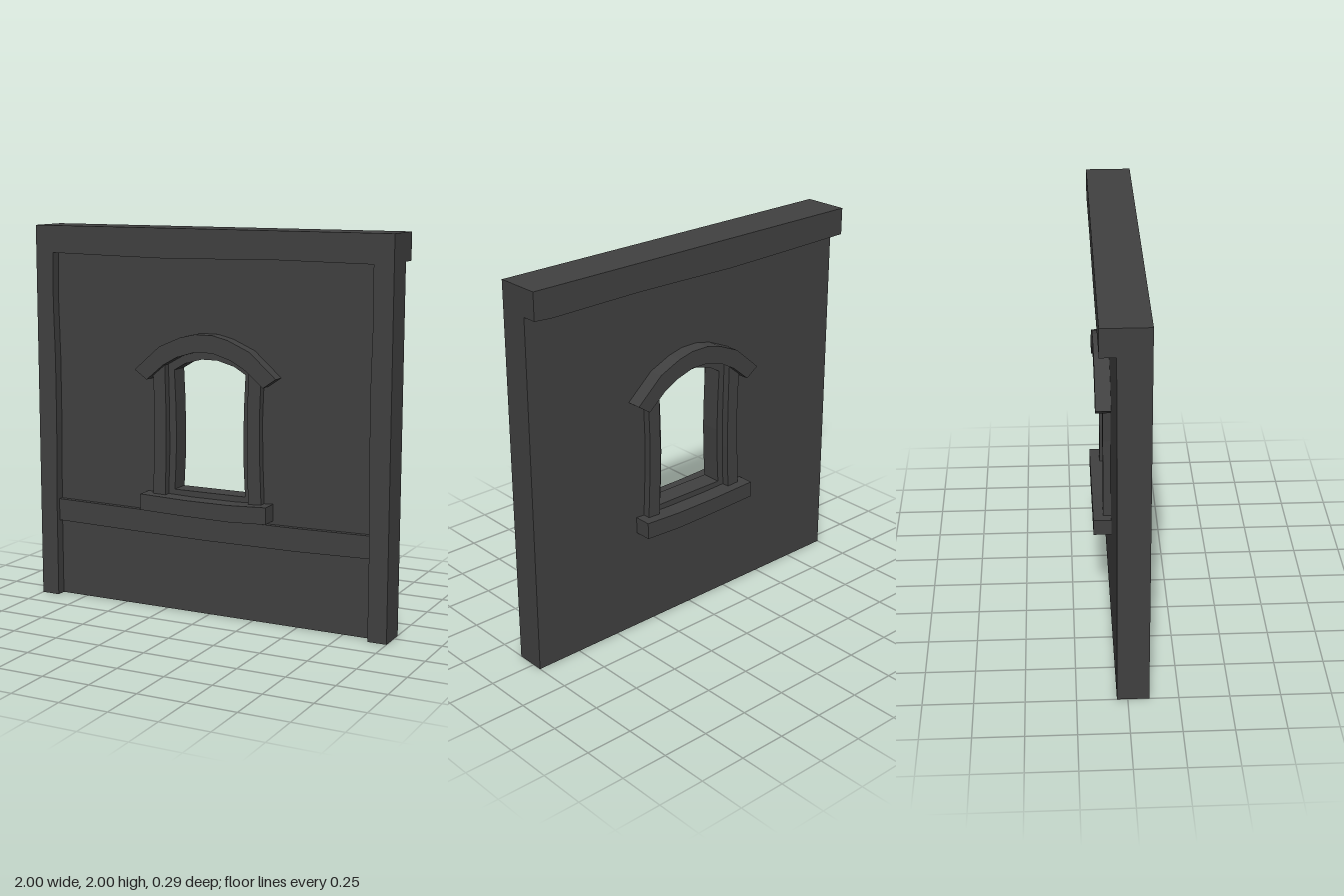
import * as THREE from 'three';

const material = new THREE.MeshStandardMaterial({ color: 0x404040, flatShading: true });

const vectors = (points) => points.map(([x, y]) => new THREE.Vector2(x, y));
// Closes a right-hand outline with its own mirror image
const mirrored = (points) => [...points, ...points.map(([x, y]) => [-x, y]).reverse()];

// Extrudes an outline between two depths
function slab(name, points, zBack, zFront, hole) {
  const shape = new THREE.Shape(vectors(points));
  if (hole) shape.holes.push(new THREE.Path(vectors(hole)));
  const geometry = new THREE.ExtrudeGeometry(shape, { depth: zFront - zBack, bevelEnabled: false });
  geometry.translate(0, 0, zBack);
  const mesh = new THREE.Mesh(geometry, material);
  mesh.name = name;
  return mesh;
}

export function createModel() {
  const group = new THREE.Group();
  group.name = 'windowWall';

  // Wall panel with the arched window opening
  const opening = mirrored([
    [0.203, 0.648], [0.195, 0.8], [0.192, 0.95], [0.196, 1.12],
    [0.203, 1.275], [0.14, 1.312], [0.045, 1.338],
  ]);
  group.add(slab('wallPanel', [[-1, 0], [1, 0], [1, 1.86], [-1, 1.86]], -0.053, 0.053, opening));

  // Top beam with a slightly uneven lower edge
  group.add(slab('topBeam', [
    [-1, 1.86], [-0.9, 1.858], [-0.5, 1.851], [-0.2, 1.847], [0.1, 1.853],
    [0.4, 1.858], [0.9, 1.853], [1, 1.86], [1, 2], [-1, 2],
  ], -0.13, 0.105));

  // Corner posts and window jambs, one per side
  for (const side of [-1, 1]) {
    const flip = (points) => points.map(([x, y]) => [side * x, y]);
    const prefix = side > 0 ? 'left' : 'right';
    group.add(slab(prefix + 'Post', flip([
      [1, 0], [1, 1.86], [0.897, 1.86], [0.9, 1.6], [0.893, 1.3], [0.893, 0.95], [0.9, 0.5], [0.9, 0],
    ]), 0.053, 0.105));
    group.add(slab(prefix + 'Jamb', flip([
      [0.312, 0.6], [0.302, 0.85], [0.299, 1.05], [0.307, 1.27],
      [0.238, 1.32], [0.232, 1.05], [0.232, 0.85], [0.24, 0.6],
    ]), -0.092, 0.092));
  }

  // Horizontal rail below the window
  group.add(slab('rail', [
    [-0.9, 0.412], [-0.4, 0.404], [0, 0.4], [0.5, 0.403], [0.9, 0.414],
    [0.9, 0.53], [0.5, 0.523], [0.1, 0.52], [-0.4, 0.525], [-0.9, 0.53],
  ], 0.053, 0.08));

  // Window sill, passing through the wall
  group.add(slab('sill', [
    [-0.36, 0.54], [-0.1, 0.533], [0.15, 0.53], [0.36, 0.54],
    [0.36, 0.627], [0.15, 0.617], [-0.1, 0.617], [-0.36, 0.625],
  ], -0.143, 0.143));

  // Curved hood over the window
  const outer = [[-0.4, 1.273], [-0.255, 1.4], [-0.135, 1.452], [-0.05, 1.472]];
  const inner = [[-0.33, 1.225], [-0.235, 1.305], [-0.155, 1.35], [-0.05, 1.382]];
  group.add(slab('archHood', [...mirrored(outer), ...mirrored(inner).reverse()], -0.13, 0.119));

  return group;
}
